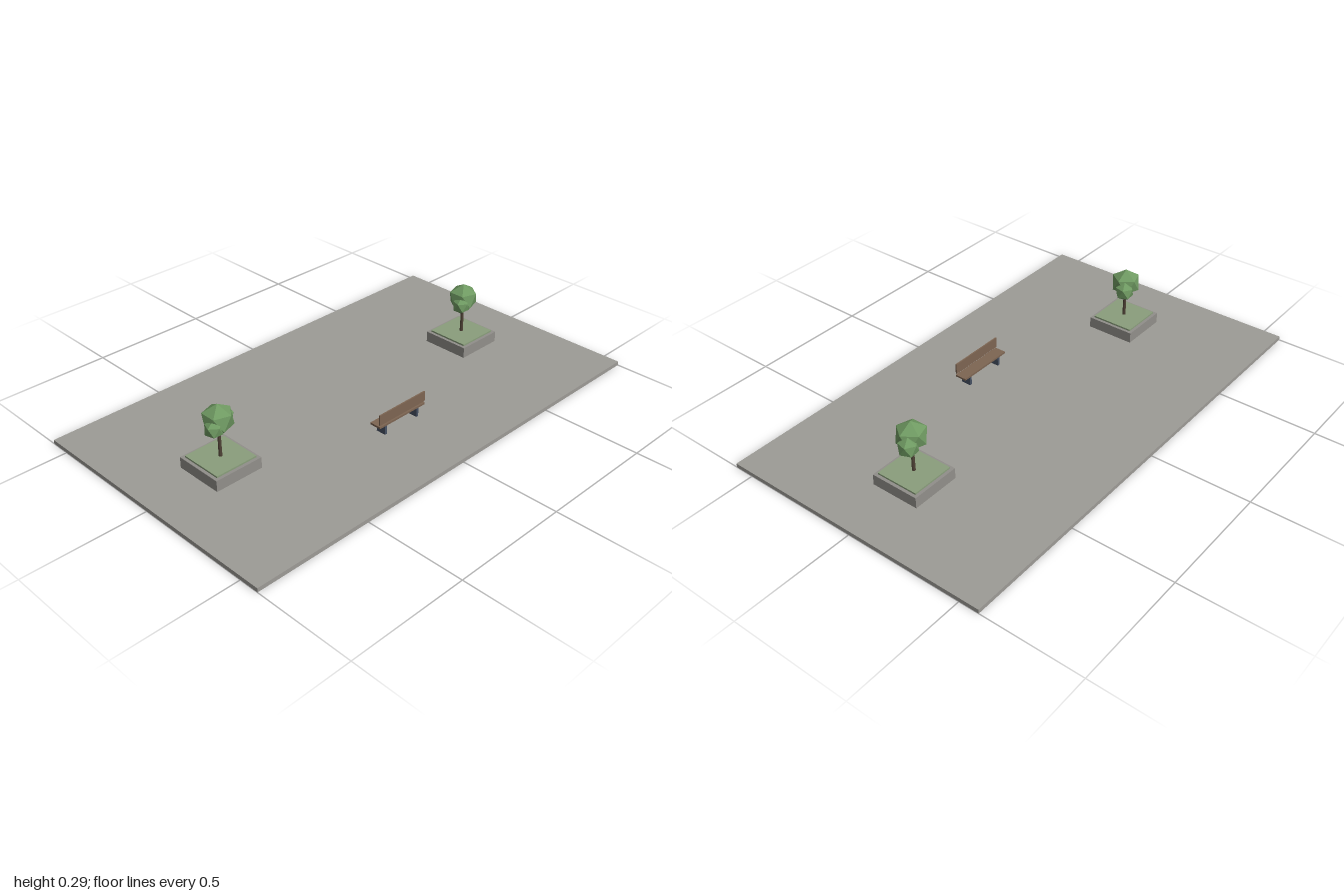
import * as THREE from 'three';

const material = (color) => new THREE.MeshStandardMaterial({ color, flatShading: true });
const stone = material(0x9d9b96);
const planterStone = material(0x918f8a);
const grass = material(0x8a9e7c);
const bark = material(0x4f4236);
const leaf = material(0x6f9a62);
const wood = material(0x7d6552);
const iron = material(0x465062);

function add(parent, name, geometry, mat, x, y, z) {
  const mesh = new THREE.Mesh(geometry, mat);
  mesh.name = name;
  mesh.position.set(x, y, z);
  parent.add(mesh);
  return mesh;
}

// Box given by its bottom and top heights
function addBox(parent, name, mat, width, bottom, top, depth, x = 0, z = 0) {
  return add(parent, name, new THREE.BoxGeometry(width, top - bottom, depth), mat, x, (bottom + top) / 2, z);
}

// Low-poly leaf clump with a vertex pointing up
function addClump(parent, r, x, y, z, turn = 0) {
  const geometry = new THREE.IcosahedronGeometry(r, 0);
  geometry.rotateZ(-Math.atan(2 / (1 + Math.sqrt(5))));
  geometry.rotateY(turn);
  return add(parent, 'foliage', geometry, leaf, x, y, z);
}

function createTree(x) {
  const tree = new THREE.Group();
  tree.name = 'plantedTree';
  tree.position.x = x;
  addBox(tree, 'planter', planterStone, 0.208, 0.017, 0.063, 0.208);
  addBox(tree, 'planterGrass', grass, 0.182, 0.06, 0.07, 0.182);
  add(tree, 'trunk', new THREE.CylinderGeometry(0.006, 0.007, 0.11, 8), bark, 0, 0.122, 0);

  // Crown of one large clump and two smaller side clumps
  addClump(tree, 0.064, 0, 0.23, 0).scale.y = 0.95;
  addClump(tree, 0.042, 0.041, 0.212, -0.022, 0.4);
  addClump(tree, 0.038, -0.038, 0.212, 0.022, 0.9);
  return tree;
}

function createBench() {
  const bench = new THREE.Group();
  bench.name = 'bench';
  bench.position.z = 0.25;
  addBox(bench, 'seat', wood, 0.25, 0.058, 0.066, 0.05);
  addBox(bench, 'backrest', wood, 0.25, 0.073, 0.117, 0.006, 0, 0.022);
  for (const side of [-1, 1]) {
    addBox(bench, 'benchLeg', iron, 0.011, 0.017, 0.058, 0.043, side * 0.088);
  }
  return bench;
}

export function createModel() {
  const model = new THREE.Group();
  model.name = 'plaza';
  addBox(model, 'pavement', stone, 2, 0, 0.017, 1.167);
  for (const side of [-1, 1]) model.add(createTree(side * 0.667));
  model.add(createBench());
  return model;
}
